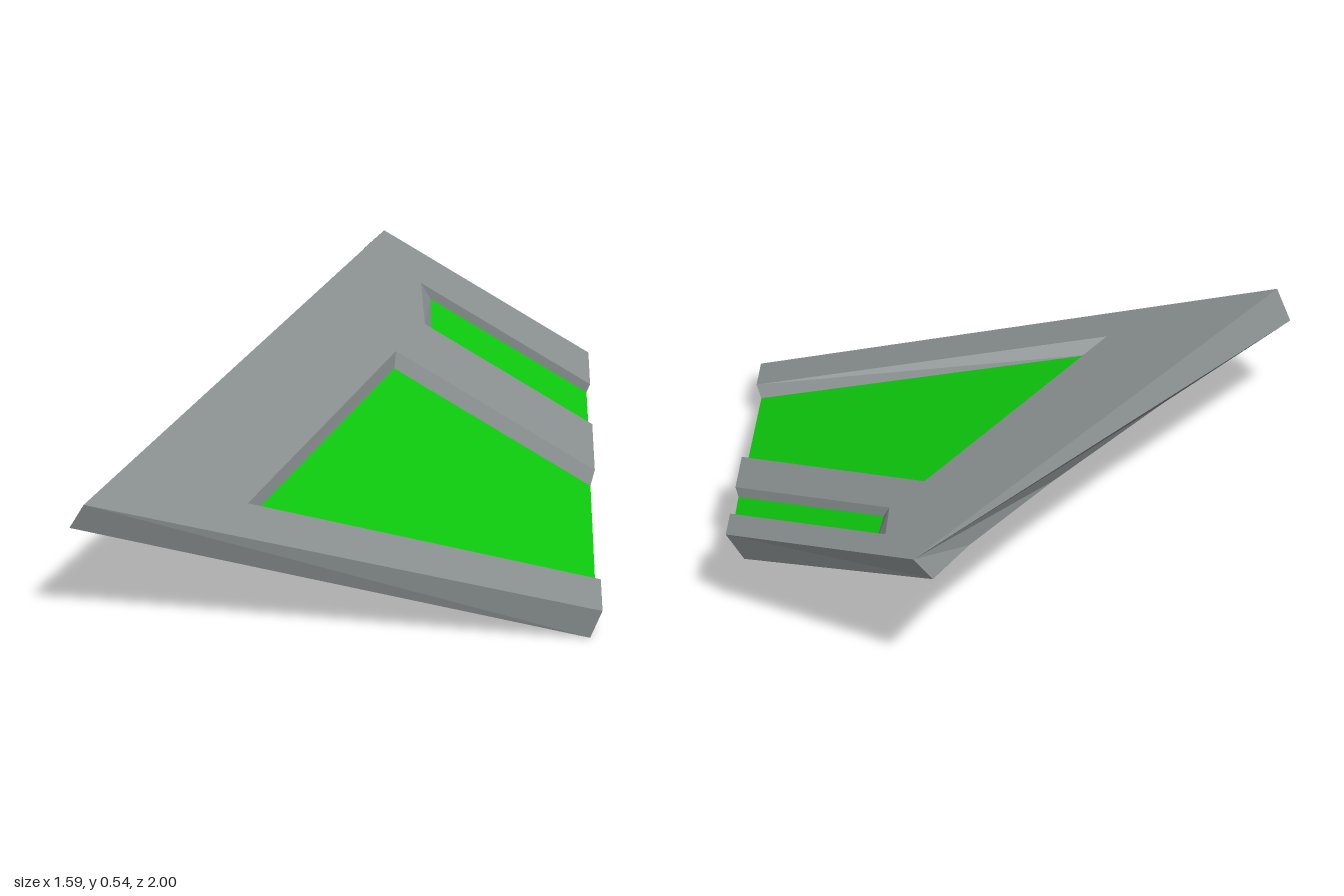
import * as THREE from 'three';

const v = (x, y, z) => new THREE.Vector3(x, y, z);
// sloping deck plane, optionally lowered by a recess depth
const onDeck = ([x, z], depth = 0) => v(x, 0.325 - 0.284 * x - depth, z);

// one flat-shaded geometry from polygons, each fanned out from its first corner
function fanGeometry(polygons) {
  const pos = [];
  for (const p of polygons)
    for (let i = 1; i < p.length - 1; i++)
      for (const q of [p[0], p[i], p[i + 1]]) pos.push(q.x, q.y, q.z);
  const g = new THREE.BufferGeometry();
  g.setAttribute('position', new THREE.Float32BufferAttribute(pos, 3));
  g.computeVertexNormals();
  return g;
}

// upward-facing plate with the given plan outline, laid on the slope
function slopePlate(outline, depth) {
  const g = new THREE.ShapeGeometry(new THREE.Shape(outline.map(([x, z]) => new THREE.Vector2(x, -z))));
  const p = g.attributes.position;
  for (let i = 0; i < p.count; i++) {
    const q = onDeck([p.getX(i), -p.getY(i)], depth);
    p.setXYZ(i, q.x, q.y, q.z);
  }
  g.computeVertexNormals();
  return g;
}

export function createModel() {
  const model = new THREE.Group();
  const grey = new THREE.MeshStandardMaterial({ color: 0x8a9090 });
  grey.name = 'hull grey';
  const green = new THREE.MeshStandardMaterial({ color: 0x0cc80c });
  green.name = 'panel green';
  const add = (name, geometry, material) => {
    const mesh = new THREE.Mesh(geometry, material);
    mesh.name = name;
    model.add(mesh);
  };

  // deck corners in plan
  const backLeft = [-0.74, -1], backRight = [0.02, -1], tip = [0.79, 0.1], front = [-0.555, 1];

  // recesses, listed from the outer back corner round to the outer front corner
  const recesses = [
    {
      name: 'rearPanel', depth: 0.032,
      rim: [[0.1145, -0.865], [-0.515, -0.865], [-0.39, -0.695], [0.2335, -0.695]],
      floor: [[0.104, -0.86], [-0.475, -0.86], [-0.37, -0.7], [0.217, -0.7]],
    },
    {
      name: 'mainPanel', depth: 0.045,
      rim: [[0.37, -0.5], [-0.37, -0.5], [-0.23, 0.56], [0.6955, -0.035]],
      floor: [[0.37, -0.475], [-0.36, -0.475], [-0.228, 0.52], [0.672, -0.04]],
    },
  ];

  // deck with the two notches cut from its outer edge
  const notches = recesses.flatMap((r) => r.rim);
  add('deck', slopePlate([backLeft, backRight, ...notches, tip, front], 0), grey);

  // green floors and grey recess walls
  for (const { name, depth, rim, floor } of recesses) {
    add(name, slopePlate(floor, depth), green);
    const top = rim.map((p) => onDeck(p)), low = floor.map((p) => onDeck(p, depth));
    add(name + 'Walls', fanGeometry([0, 1, 2].map((i) => [top[i + 1], low[i + 1], low[i], top[i]])), grey);
  }

  // underside outline: bowed inner edge and nearly straight outer edge
  const inner = [
    v(-0.795, 0.47, -0.97), v(-0.71, 0.425, -0.69), v(-0.645, 0.397, -0.2),
    v(-0.61, 0.387, 0.38), v(-0.608, 0.387, 1),
  ];
  const lowBack = v(-0.03, 0.235, -0.97), lowMid = v(0.19, 0.163, -0.68), lowTip = v(0.75, 0, 0.11);
  add('underside', fanGeometry([[lowTip, ...[...inner].reverse(), lowBack, lowMid]]), grey);

  // side walls
  const A = onDeck(backLeft), B = onDeck(backRight), C = onDeck(tip), D = onDeck(front);
  add('innerWall', fanGeometry([[A, ...inner, D]]), grey);
  add('frontWall', fanGeometry([[D, inner[4], lowTip, C]]), grey);
  add('backWall', fanGeometry([[B, lowBack, inner[0], A]]), grey);

  // outer wall, stepping down where the recesses run out
  const upper = [B];
  for (const { rim, floor, depth } of recesses)
    upper.push(onDeck(rim[0]), onDeck(floor[0], depth), onDeck(floor[3], depth), onDeck(rim[3]));
  upper.push(C);
  const lower = upper.map((p) => {
    const t = (p.z + 1) / 1.1, k = 0.27;
    return t < k ? lowBack.clone().lerp(lowMid, t / k) : lowMid.clone().lerp(lowTip, (t - k) / (1 - k));
  });
  const strips = [];
  for (let i = 0; i < upper.length - 1; i++) strips.push([upper[i + 1], lower[i + 1], lower[i], upper[i]]);
  add('outerWall', fanGeometry(strips), grey);

  return model;
}
